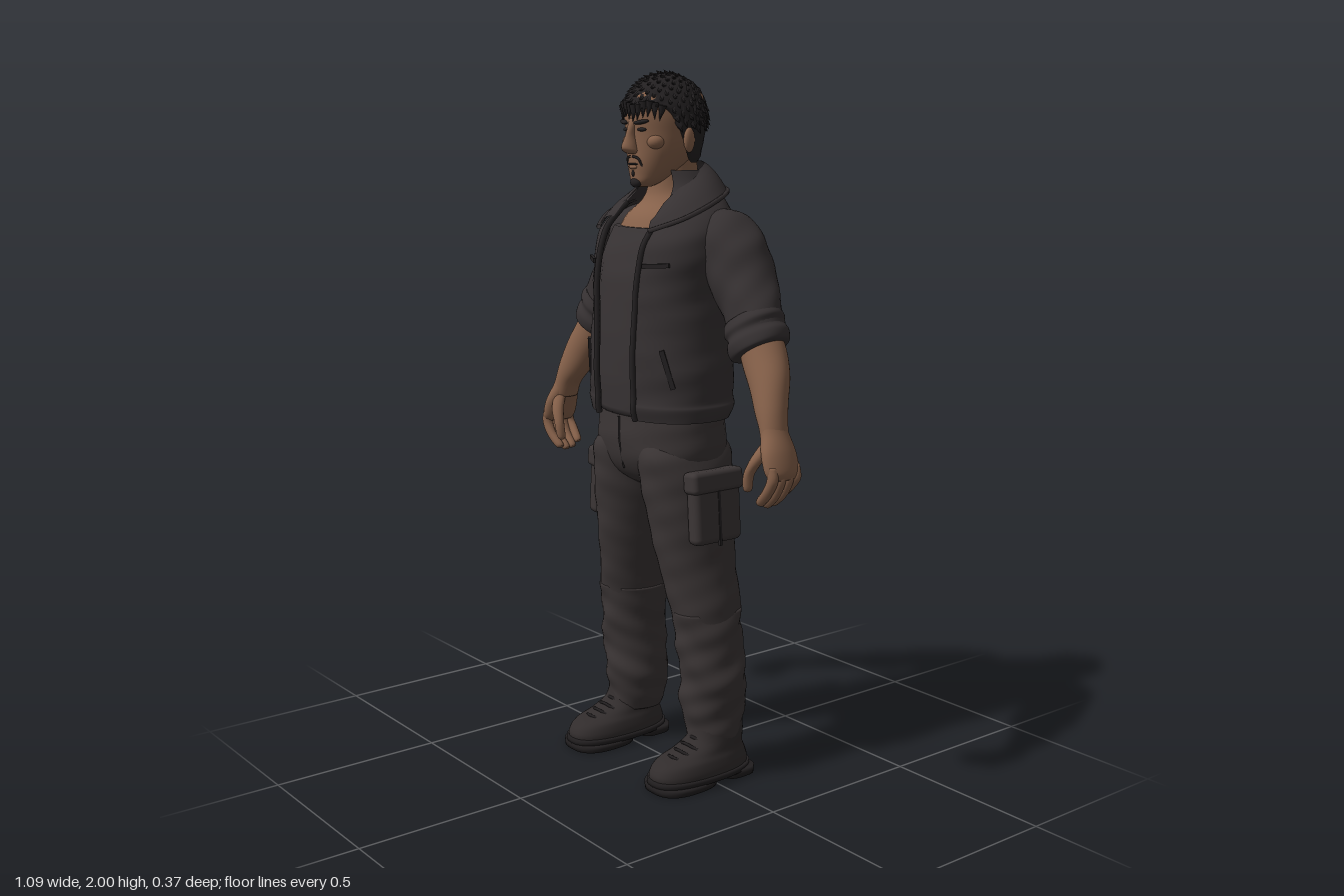
import * as THREE from 'three';
import { mergeGeometries } from 'three/addons/utils/BufferGeometryUtils.js';
import { RoundedBoxGeometry } from 'three/addons/geometries/RoundedBoxGeometry.js';

const mat = (name, color) => new THREE.MeshStandardMaterial({ name, color, side: THREE.DoubleSide });

// Grid surface from fn(u, v) -> [x, y, z]; s = -1 mirrors it across x
function surface(nu, nv, fn, closed = true, s = 1) {
  const pos = [], index = [], cols = closed ? nu : nu + 1;
  for (let j = 0; j <= nv; j++) for (let i = 0; i < cols; i++) {
    const p = fn(s < 0 ? 1 - i / nu : i / nu, j / nv, j);
    pos.push(p[0] * s, p[1], p[2]);
  }
  for (let j = 0; j < nv; j++) for (let i = 0; i < nu; i++) {
    const a = j * cols + i, b = j * cols + (i + 1) % cols;
    index.push(a, a + cols, b, b, a + cols, b + cols);
  }
  const g = new THREE.BufferGeometry();
  g.setAttribute('position', new THREE.Float32BufferAttribute(pos, 3));
  g.setIndex(index);
  g.computeVertexNormals();
  return g;
}

// Smooth interpolation through cross-sections [x, y, z, rx, rz, tilt, frontGap]
function section(secs, t) {
  const n = secs.length - 1, f = Math.min(t * n, n - 1e-6), i = Math.floor(f), q = f - i;
  const at = (j, k) => secs[Math.max(0, Math.min(n, j))][k] || 0;
  return [0, 1, 2, 3, 4, 5, 6].map(k => {
    const a = at(i - 1, k), b = at(i, k), c = at(i + 1, k), d = at(i + 2, k);
    return 0.5 * (2 * b + (c - a) * q + (2 * a - 5 * b + 4 * c - d) * q * q + (3 * b - a - 3 * c + d) * q ** 3);
  });
}

// Loft of (super)elliptical sections, listed bottom to top, with optional cloth folds
function loft(secs, { s = 1, p = 1, fold = 0, seg = 36, sub = 6, open = false } = {}) {
  const rows = (secs.length - 1) * sub, nv = open ? rows : rows + 2;
  const pw = v => Math.sign(v) * Math.abs(v) ** p;
  return surface(seg, nv, (u, v, j) => {
    const row = open ? j : Math.min(rows, Math.max(0, j - 1));
    const [x, y, z, rx, rz, tilt, gap] = section(secs, row / rows);
    const d = gap > 0 ? Math.asin((gap / rx) ** (1 / p)) : 0;
    const a = Math.PI / 2 + d + u * (2 * Math.PI - 2 * d);
    let k = 1 + fold * (0.6 * Math.sin(y * 42 + 2.5 * Math.sin(2 * a + 1)) + 0.4 * Math.sin(y * 85 + 3 * a));
    if (!open && (j === 0 || j === nv)) k = 0;
    const c = pw(Math.cos(a)) * rx * k;
    return [x + c * Math.cos(tilt), y + c * Math.sin(tilt), z + pw(Math.sin(a)) * rz * k];
  }, !open, s);
}

export function createModel() {
  const model = new THREE.Group();
  const skin = mat('skin', 0x86614a), hairMat = mat('hair', 0x232021), jacketMat = mat('jacketCloth', 0x363132);
  const pants = mat('trouserCloth', 0x3b3535), shirtMat = mat('shirtCloth', 0x383334);
  const boot = mat('bootLeather', 0x312c2c), sole = mat('soleRubber', 0x221f20), seam = mat('seam', 0x242122);
  const add = (name, geo, m, pos, rot, scale) => {
    const o = new THREE.Mesh(geo, m);
    o.name = name;
    if (pos) o.position.set(...pos);
    if (rot) o.rotation.set(...rot);
    if (scale) o.scale.set(...scale);
    model.add(o);
    return o;
  };
  const tube = (pts, r) => new THREE.TubeGeometry(new THREE.CatmullRomCurve3(pts.map(q => new THREE.Vector3(...q))), 40, r, 6);
  const ball = new THREE.SphereGeometry(1, 20, 14);

  // Hips, shirt and chest
  add('hips', loft([[0, .84, -.01, .07, .07], [0, .88, -.005, .17, .125], [0, .94, 0, .212, .148], [0, 1.02, 0, .208, .153],
    [0, 1.09, 0, .2, .148]], { p: .9, fold: .01 }), pants);
  add('flySeam', tube([[0, 1.05, .151], [.004, .98, .152], [0, .9, .134]], .004), seam);
  add('shirt', loft([[0, 1.055, .005, .2, .146], [0, 1.2, 0, .208, .16], [0, 1.4, -.01, .2, .163], [0, 1.5, -.015, .2, .151],
    [0, 1.575, -.025, .165, .135]], { p: .9, fold: .006 }), shirtMat);
  add('chestAndNeck', loft([[0, 1.52, -.02, .18, .14], [0, 1.6, -.035, .14, .123], [0, 1.645, -.045, .092, .092],
    [0, 1.69, -.042, .065, .075], [0, 1.79, -.04, .062, .07]]), skin);

  // Open jacket with edge piping
  const seg = 56;
  const jacket = loft([[0, 1.05, .005, .226, .16, 0, .085], [0, 1.085, .003, .236, .168, 0, .085], [0, 1.11, .002, .23, .167, 0, .085],
    [0, 1.2, 0, .226, .174, 0, .085], [0, 1.35, -.006, .212, .177, 0, .088], [0, 1.45, -.009, .214, .174, 0, .092],
    [0, 1.53, -.018, .225, .166, 0, .097], [0, 1.59, -.033, .213, .143, 0, .1], [0, 1.64, -.05, .17, .114, 0, .09],
    [0, 1.685, -.056, .118, .09, 0, .075], [0, 1.73, -.045, .09, .077, 0, .062]], { p: .86, fold: .012, seg, open: true });
  add('jacketBody', jacket, jacketMat);
  const jp = jacket.attributes.position;
  for (const col of [0, seg]) {
    const pts = [];
    for (let j = 0; j < 49; j += 4) { const k = j * (seg + 1) + col; pts.push([jp.getX(k), jp.getY(k), jp.getZ(k)]); }
    add('jacketFrontEdge', tube(pts, .009), seam);
  }

  for (const s of [1, -1]) {
    // Collar leaf, ruled between its inner and outer edge
    const edge = pts => new THREE.CatmullRomCurve3(pts.map(q => new THREE.Vector3(...q)));
    const inner = edge([[0, 1.755, -.125], [.07, 1.748, -.095], [.092, 1.71, -.03], [.088, 1.645, .058], [.09, 1.6, .1]]);
    const outer = edge([[0, 1.685, -.17], [.105, 1.675, -.15], [.17, 1.65, -.06], [.172, 1.605, .058], [.115, 1.572, .135]]);
    add('collar', surface(20, 4, (u, v) => {
      const q = outer.getPoint(u).lerp(inner.getPoint(u), v);
      return [q.x, q.y + .012 * Math.sin(v * Math.PI), q.z];
    }, false, s), jacketMat);
    add('collarEdge', tube(outer.getPoints(8).map(q => [q.x * s, q.y, q.z]), .007), jacketMat);
    add('chestPocketSeam', new THREE.BoxGeometry(.08, .012, .008), seam, [s * .145, 1.48, .133], [0, s * .5, s * .06]);
    add('sidePocketSeam', new THREE.BoxGeometry(.014, .11, .009), seam, [s * .18, 1.2, .12], [0, s * .75, s * .3]);

    // Sleeve and rolled cuff
    add('sleeve', loft([[.352, 1.29, -.055, .08, .078, .58], [.31, 1.37, -.068, .083, .083, .6], [.268, 1.43, -.077, .088, .092, .6],
      [.215, 1.505, -.08, .095, .103, .55], [.165, 1.575, -.075, .075, .092, .6], [.12, 1.61, -.07, .03, .05, .7]],
      { s, fold: .035 }), jacketMat);
    add('rolledCuff', loft([[.37, 1.258, -.053, .07, .07, .56], [.365, 1.263, -.053, .085, .081, .55], [.352, 1.285, -.055, .09, .085, .54],
      [.341, 1.305, -.056, .082, .079, .54], [.332, 1.322, -.058, .09, .085, .55], [.32, 1.342, -.06, .08, .08, .56]],
      { s, fold: .02, sub: 5 }), jacketMat);

    // Forearm, palm, fingers and thumb
    add('forearm', loft([[.487, 1.03, 0, .03, .042, .15], [.475, 1.075, -.004, .035, .042, .4], [.455, 1.12, -.014, .046, .047, .5],
      [.425, 1.18, -.034, .058, .056, .55], [.385, 1.24, -.05, .064, .062, .55], [.35, 1.3, -.056, .06, .06, .55]], { s }), skin);
    add('palm', loft([[.52, .945, .003, .02, .045, -.1], [.517, .965, .003, .028, .056, 0], [.503, 1.01, .003, .031, .055, .15],
      [.484, 1.055, 0, .031, .042, .25], [.477, 1.08, 0, .028, .036, .3]], { s }), skin);
    [.042, .015, -.013, -.038].forEach((z, i) => {
      const d = [.008, 0, .003, .018][i];
      add('finger', loft([[.462, .862 + d, z * .8, .006, .007, -.7], [.472, .868 + d, z * .85, .013, .013, -.7],
        [.505, .9 + d, z, .015, .014, -.4], [.525, .945, z, .017, .015, 0], [.52, .98, z, .015, .014, 0]], { s, seg: 12, sub: 4 }), skin);
    });
    add('thumb', loft([[.436, .9, .05, .006, .006], [.437, .91, .051, .013, .013], [.444, .95, .053, .015, .015],
      [.467, .995, .042, .02, .018], [.485, 1.04, .018, .018, .018]], { s, seg: 14, sub: 4 }), skin);

    // Trouser leg, baggier and bunched toward the ankle
    add('trouserLeg', loft([[.187, .1, -.05, .068, .078], [.185, .13, -.05, .078, .086], [.182, .17, -.048, .083, .09], [.18, .22, -.046, .093, .096],
      [.187, .3, -.042, .095, .096], [.18, .4, -.034, .091, .1], [.168, .5, -.028, .092, .107]], { s, fold: .05, sub: 9 }), pants);
    add('thigh', loft([[.172, .47, -.029, .089, .102], [.166, .52, -.027, .093, .109], [.148, .6, -.02, .093, .117],
      [.133, .7, -.012, .1, .127], [.12, .8, -.007, .109, .137], [.11, .88, -.005, .111, .146],
      [.1, .95, -.002, .107, .148], [.09, 1, 0, .08, .12]], { s, fold: .018 }), pants);

    // Cargo pocket with flap
    add('cargoPocket', new RoundedBoxGeometry(.05, .18, .165, 3, .018), pants, [s * .232, .8, -.005], [0, 0, s * .07]);
    add('pocketFlap', new RoundedBoxGeometry(.058, .062, .178, 3, .014), pants, [s * .228, .885, -.005], [0, 0, s * .1]);
    add('pocketSeam', new THREE.BoxGeometry(.008, .16, .008), seam, [s * .256, .785, -.005], [0, 0, s * .07]);

    // Boot, sole, heel and laces
    const x = .2;
    add('bootUpper', loft([[x, .028, .02, .08, .163], [x, .05, .02, .08, .163], [x, .075, .013, .074, .148], [x, .095, -.012, .066, .115],
      [x, .125, -.04, .063, .085], [x, .18, -.05, .058, .075]], { s, p: .85 }), boot);
    add('midsole', loft([[x, .018, .02, .083, .169], [x, .036, .02, .083, .169]], { s, p: .8, sub: 2 }), sole);
    add('frontTread', loft([[x, 0, .085, .082, .103], [x, .02, .085, .083, .104]], { s, p: .75, sub: 2 }), sole);
    add('heel', loft([[x, 0, -.093, .072, .056], [x, .024, -.093, .074, .057]], { s, p: .6, sub: 2 }), sole);
    for (let i = 0; i < 4; i++) {
      const y = .088 + i * .013, z = .118 - i * .026;
      add('lace', tube([[s * (x - .038), y - .008, z - .012], [s * x, y + .003, z], [s * (x + .038), y - .008, z - .012]], .005), sole);
    }

    // Ear, eye socket, eye and brow
    add('ear', ball, skin, [s * .1, 1.812, -.018], [0, s * .3, 0], [.012, .034, .021]);
    add('cheekbone', ball, skin, [s * .054, 1.807, .062], null, [.026, .022, .026]);
    add('eye', ball, hairMat, [s * .036, 1.84, .096], [0, s * .35, 0], [.015, .005, .006]);
    add('brow', ball, hairMat, [s * .039, 1.86, .1], [0, s * .4, s * .15], [.024, .006, .009]);
    add('moustache', tube([[s * .006, 1.768, .104], [s * .024, 1.762, .099], [s * .031, 1.74, .089]], .0035), hairMat);
  }

  // Head, nose, mouth and beard
  add('head', loft([[0, 1.685, .062, .02, .022], [0, 1.698, .053, .039, .042], [0, 1.72, .034, .056, .064], [0, 1.75, .013, .072, .088],
    [0, 1.79, -.003, .087, .104], [0, 1.83, -.01, .093, .112], [0, 1.88, -.012, .096, .117], [0, 1.93, -.014, .09, .11],
    [0, 1.97, -.014, .05, .07]], { p: .94 }), skin);
  add('nose', loft([[0, 1.774, .1, .012, .012], [0, 1.782, .107, .021, .021], [0, 1.795, .11, .019, .025], [0, 1.825, .105, .011, .018],
    [0, 1.855, .1, .012, .012], [0, 1.87, .098, .012, .008]], { seg: 20 }), skin);
  add('mouth', ball, seam, [0, 1.747, .1], null, [.023, .003, .005]);
  add('lowerLip', ball, skin, [0, 1.739, .099], null, [.017, .006, .007]);
  add('goatee', ball, hairMat, [0, 1.697, .089], null, [.02, .014, .013]);
  add('soulPatch', ball, hairMat, [0, 1.722, .098], null, [.005, .009, .005]);

  // Cropped hair: a cap with an angled hairline, covered in small tufts
  add('hairCap', surface(72, 24, (u, v) => {
    const a = u * 2 * Math.PI, y0 = 1.75 + .145 * THREE.MathUtils.smoothstep(Math.sin(a), -.35, .6);
    const y = y0 + (1.992 - y0) * Math.sin(v * Math.PI / 2);
    let k = y > 1.87 ? Math.sqrt(Math.max(0, 1 - ((y - 1.87) / .122) ** 2)) : 1 - 1.5 * (1.87 - y);
    k *= (v === 0 ? .93 : 1) + .015 * Math.sin(9 * a + y * 60) * Math.sin(y * 130 + 4 * a);
    return [.106 * k * Math.cos(a), y, -.012 + .125 * k * Math.sin(a)];
  }), hairMat);
  const tufts = [], up = new THREE.Vector3(0, 1, 0);
  const tuft = (p, dir, r, h) => {
    const q = new THREE.Quaternion().setFromUnitVectors(up, dir.normalize());
    tufts.push(new THREE.ConeGeometry(r, h, 6).applyQuaternion(q).translate(p.x, p.y, p.z));
  };
  for (let i = 0; i < 230; i++) {
    const a = i * 2.39996, h = 1 - 1.25 * (i + .5) / 230, r = Math.sqrt(1 - h * h);
    const d = new THREE.Vector3(Math.cos(a) * r, h, Math.sin(a) * r);
    if (d.z > .4 && h < .25) continue;
    const p = new THREE.Vector3(d.x * .104, 1.87 + d.y * .12, -.012 + d.z * .122);
    tuft(p, d.clone().multiplyScalar(.5).add(new THREE.Vector3(-d.x * d.y * -.7 + .2 * Math.sin(i * 7), -.55 * r, .5 * h)), .014, .034);
  }
  for (let i = -6; i <= 6; i++) {
    const a = i * .15;
    tuft(new THREE.Vector3(Math.sin(a) * .102, 1.888 + .006 * Math.sin(i * 5), -.012 + Math.cos(a) * .122),
      new THREE.Vector3(.25 * Math.sin(i * 3), -1, .1), .013, .045);
  }
  add('hairTufts', mergeGeometries(tufts), hairMat);
  return model;
}
